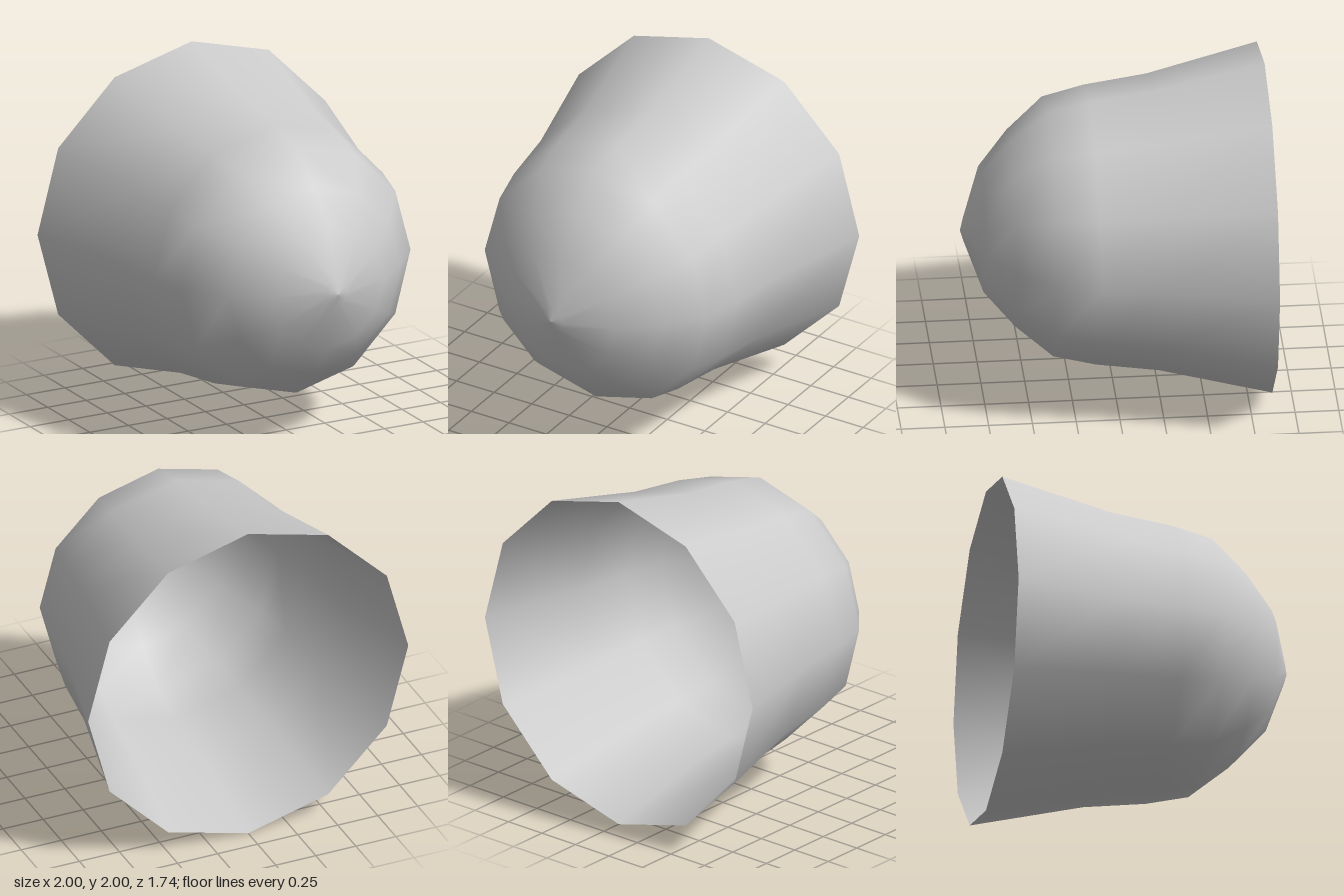
import * as THREE from 'three';

// Thin open cup: twelve-sided, flaring to the rim at the back, domed at the front
export function createModel() {
  const group = new THREE.Group();
  group.name = 'cup';

  // Profile as [radius, position along the axis], rim to tip
  const profile = [
    [1, -0.87], [0.845, -0.23], [0.797, 0.13], [0.74, 0.37],
    [0.56, 0.58], [0.36, 0.75], [0.07, 0.85], [0, 0.87],
  ].map(([r, h]) => new THREE.Vector2(r, h));

  const geometry = new THREE.LatheGeometry(profile, 12);
  geometry.rotateX(Math.PI / 2); // dome tip faces +z
  geometry.translate(0, 1, 0);

  const shell = new THREE.Mesh(
    geometry,
    new THREE.MeshStandardMaterial({ color: 0xcccccc, side: THREE.DoubleSide }),
  );
  shell.name = 'shell';
  group.add(shell);
  return group;
}
